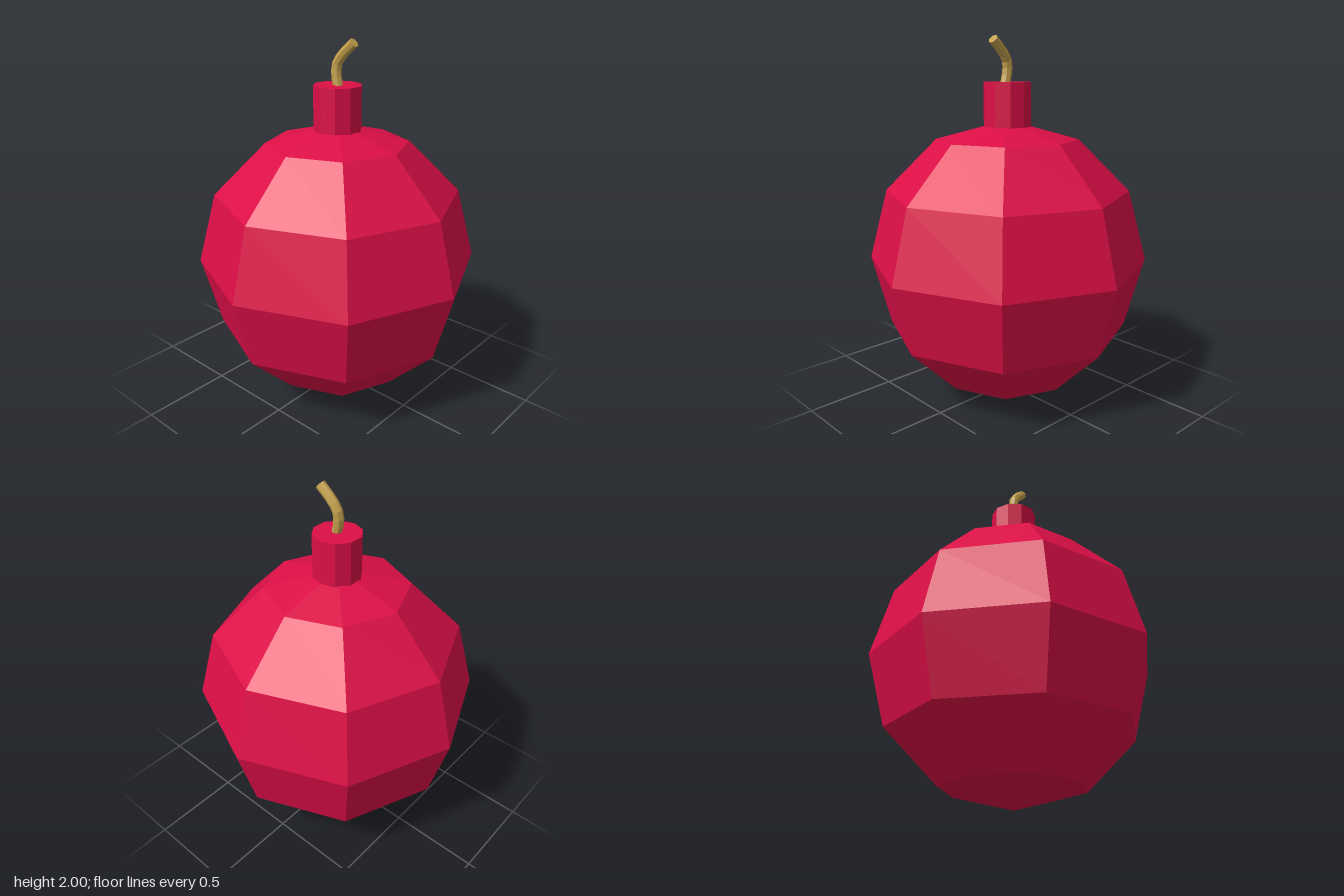
import * as THREE from 'three';

export function createModel() {
  const group = new THREE.Group();
  const red = new THREE.MeshStandardMaterial({ color: 0xdc0f46, flatShading: true });
  const tan = new THREE.MeshStandardMaterial({ color: 0xc4a04c, flatShading: true });

  const add = (name, geometry, material, y = 0) => {
    const mesh = new THREE.Mesh(geometry, material);
    mesh.name = name;
    mesh.position.y = y;
    group.add(mesh);
    return mesh;
  };

  // Faceted round body
  add('body', new THREE.SphereGeometry(0.777, 8, 6), red, 0.782);

  // Ten-sided neck, sunk slightly into the body
  add('neck', new THREE.CylinderGeometry(0.13, 0.13, 0.25, 10), red, 1.635);

  // Bent fuse rising from the neck
  const path = new THREE.CatmullRomCurve3([
    [0.018, 1.72, 0.005],
    [-0.004, 1.81, 0.005],
    [-0.002, 1.865, 0.002],
    [0.03, 1.912, 0],
    [0.105, 1.98, -0.005],
  ].map((p) => new THREE.Vector3(...p)));
  const radius = 0.027, sides = 8, steps = 8;
  add('fuse', new THREE.TubeGeometry(path, steps, radius, sides), tan);

  // Flat cap closing the fuse tip
  const tip = add('fuseTip', new THREE.CircleGeometry(radius, sides), tan);
  tip.position.copy(path.getPoint(1));
  tip.quaternion.setFromUnitVectors(new THREE.Vector3(0, 0, 1), path.getTangent(1));

  return group;
}
